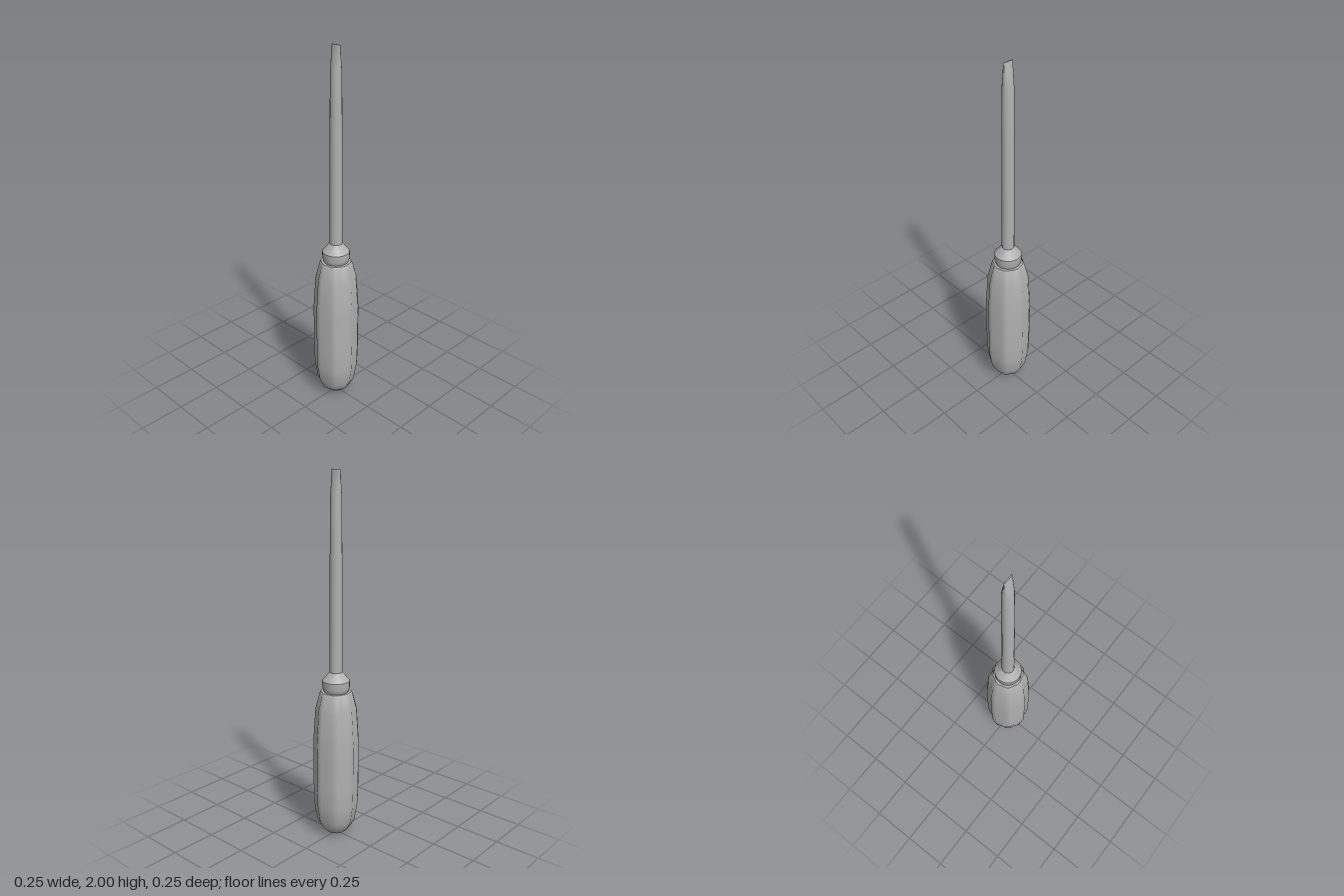
import * as THREE from 'three';
import { toCreasedNormals } from 'three/addons/utils/BufferGeometryUtils.js';

// Skin a stack of rings; point(angle, index, ring) returns [x, y, z]
function loft(rings, sides, point, crease) {
  const pos = [], index = [];
  rings.forEach((ring) => {
    for (let i = 0; i < sides; i++) pos.push(...point((i / sides) * Math.PI * 2, i, ring));
  });
  for (let j = 0; j < rings.length - 1; j++) {
    for (let i = 0; i < sides; i++) {
      const a = j * sides + i, b = j * sides + ((i + 1) % sides);
      index.push(b, a, a + sides, b, a + sides, b + sides);
    }
  }
  // close both ends
  const top = (rings.length - 1) * sides;
  for (let i = 1; i < sides - 1; i++) {
    index.push(0, i, i + 1);
    index.push(top, top + i + 1, top + i);
  }
  const geo = new THREE.BufferGeometry();
  geo.setAttribute('position', new THREE.Float32BufferAttribute(pos, 3));
  geo.setIndex(index);
  geo.computeVertexNormals();
  return toCreasedNormals(geo, crease);
}

export function createModel() {
  const group = new THREE.Group();
  const grey = new THREE.MeshStandardMaterial({ color: 0xb0b0b0 });
  grey.name = 'plain grey';
  const add = (name, geo) => {
    const mesh = new THREE.Mesh(geo, grey);
    mesh.name = name;
    group.add(mesh);
  };

  // Fluted grip: eight lobes, every third vertex is a groove.
  // Each ring is [y, radius, groove depth]
  const grip = [
    [0, 0.022, 0], [0.012, 0.05, 0.001], [0.04, 0.081, 0.004], [0.09, 0.107, 0.008],
    [0.19, 0.122, 0.012], [0.3, 0.125, 0.013], [0.56, 0.125, 0.013],
    [0.75, 0.112, 0.012], [0.835, 0.09, 0.008], [0.848, 0.082, 0.004], [0.848, 0.06, 0],
  ];
  add('handle', loft(grip, 24, (a, i, [y, r, groove]) => {
    const d = i % 3 === 2 ? r - groove : r;
    return [Math.sin(a) * d, y, -Math.cos(a) * d];
  }, 0.75));

  // Collar between grip and shaft
  const collar = [[0.84, 0.062], [0.855, 0.07], [0.87, 0.074], [0.908, 0.074], [0.955, 0.034]];
  add('collar', loft(collar, 24, (a, i, [y, r]) => [Math.sin(a) * r, y, -Math.cos(a) * r], 0.6));

  // Shaft ending in a flat wedge: [y, half width, half depth]
  const shaft = [
    [0.95, 0.034, 0.034], [1.1, 0.034, 0.034], [1.58, 0.032, 0.032],
    [1.88, 0.03, 0.028], [1.94, 0.03, 0.017], [2, 0.03, 0.003],
  ];
  add('shaft and blade', loft(shaft, 16, (a, i, [y, w, d]) => [Math.sin(a) * w, y, -Math.cos(a) * d], 0.8));

  return group;
}
